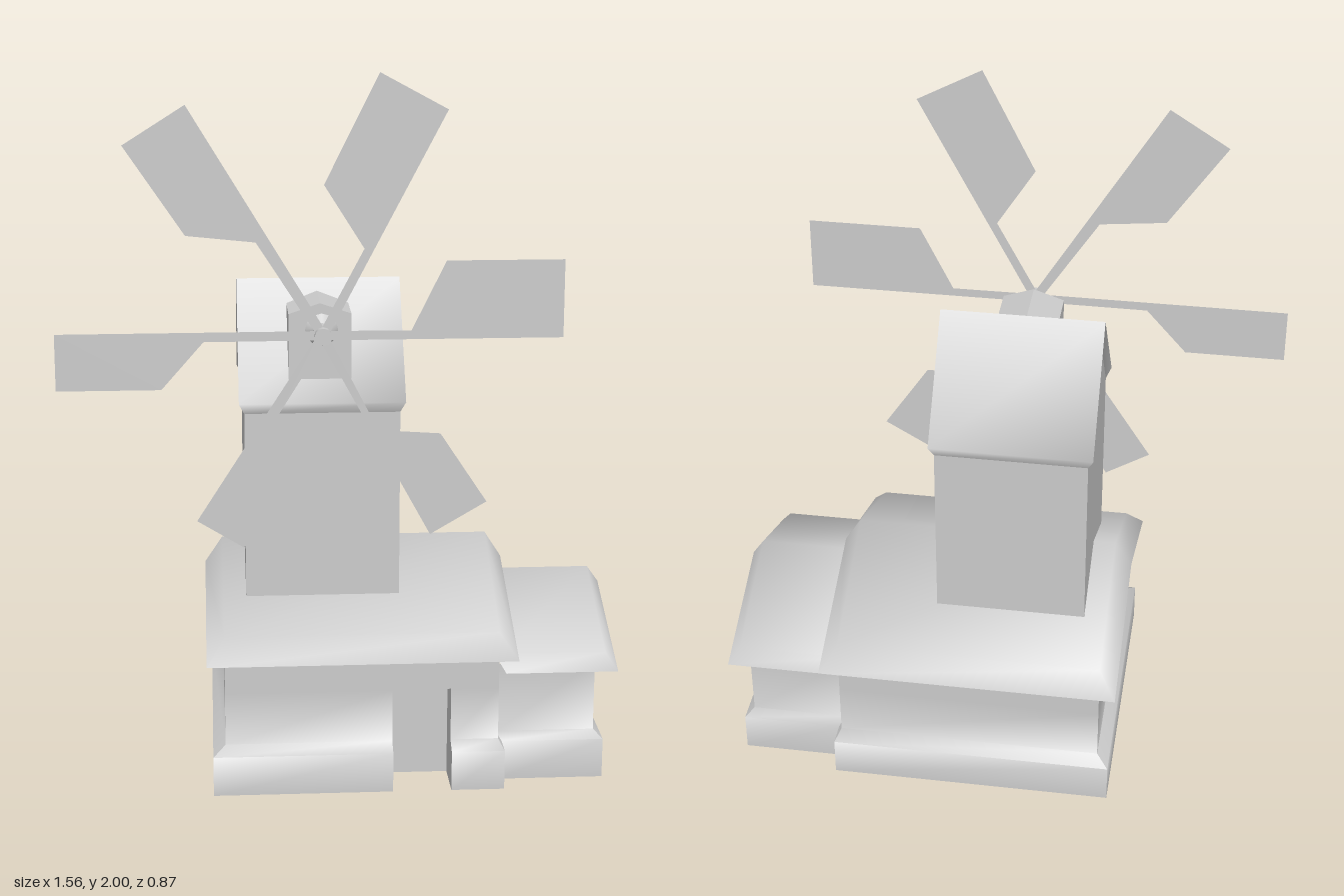
import * as THREE from 'three';
import { toCreasedNormals } from 'three/addons/utils/BufferGeometryUtils.js';

const grey = new THREE.MeshStandardMaterial({ color: 0xcccccc });
const greyDouble = new THREE.MeshStandardMaterial({ color: 0xcccccc, side: THREE.DoubleSide });

function addMesh(parent, name, geometry, material = grey) {
  const mesh = new THREE.Mesh(geometry, material);
  mesh.name = name;
  parent.add(mesh);
  return mesh;
}

// Six-point loop: a rectangle whose two x ends rise to a ridge at z = 0
function gable(x0, x1, z, eave, ridge = eave) {
  return [[x0, eave, z], [x1, eave, z], [x1, ridge, 0], [x1, eave, -z], [x0, eave, -z], [x0, ridge, 0]];
}

// Joins stacked loops with side faces; gable loops may be closed at top and bottom
function loft(loops, { top = false, bottom = false } = {}) {
  const n = loops[0].length, index = [];
  const quad = (a, b, c, d) => index.push(a, b, c, a, c, d);
  for (let k = 0; k < loops.length - 1; k++) {
    for (let i = 0; i < n; i++) {
      const j = (i + 1) % n, a = k * n, b = a + n;
      quad(a + i, a + j, b + j, b + i);
    }
  }
  const t = (loops.length - 1) * n;
  if (top) {
    quad(t, t + 1, t + 2, t + 5);
    quad(t + 5, t + 2, t + 3, t + 4);
  }
  if (bottom) {
    quad(5, 2, 1, 0);
    quad(4, 3, 2, 5);
  }
  const geo = new THREE.BufferGeometry();
  geo.setAttribute('position', new THREE.Float32BufferAttribute(loops.flat(2), 3));
  geo.setIndex(index);
  return toCreasedNormals(geo, 1.25);
}

function buildHouse(group) {
  // Plinth and lower wall, notched for the door
  const notched = (x0, x1, z, y) => [
    [x0, z], [0.135, z], [0.135, 0.3], [0.3, 0.3], [0.3, z], [x1, z], [x1, -z], [x0, -z],
  ].map(([x, pz]) => [x, y, pz]);
  addMesh(group, 'plinthAndLowerWall', loft([
    notched(-0.37, 0.45, 0.43, 0),
    notched(-0.37, 0.45, 0.43, 0.115),
    notched(-0.335, 0.435, 0.39, 0.137),
    notched(-0.335, 0.435, 0.39, 0.29),
  ]), greyDouble);

  const lintel = new THREE.PlaneGeometry(0.165, 0.09).rotateX(Math.PI / 2).translate(0.2175, 0.29, 0.345);
  addMesh(group, 'doorLintel', lintel, greyDouble);

  addMesh(group, 'upperWall', loft([
    gable(-0.335, 0.435, 0.39, 0.29),
    gable(-0.335, 0.435, 0.39, 0.41, 0.56),
  ]), greyDouble);

  addMesh(group, 'houseRoof', loft([
    gable(-0.385, 0.485, 0.435, 0.385, 0.55),
    gable(-0.335, 0.437, 0.38, 0.452, 0.625),
  ], { top: true, bottom: true }));
}

function buildAnnex(group) {
  addMesh(group, 'annexWalls', loft([
    gable(0.435, 0.74, 0.362, 0),
    gable(0.435, 0.74, 0.362, 0.115),
    gable(0.435, 0.715, 0.338, 0.137),
    gable(0.435, 0.715, 0.338, 0.34, 0.47),
  ], { bottom: true }));

  addMesh(group, 'annexRoof', loft([
    gable(0.46, 0.778, 0.362, 0.32, 0.465),
    gable(0.43, 0.745, 0.335, 0.368, 0.512),
  ], { top: true, bottom: true }));
}

function buildTower(group) {
  addMesh(group, 'tower', loft([
    gable(-0.27, 0.165, 0.23, 0.51, 0.61),
    gable(-0.27, 0.165, 0.23, 1.06, 1.35),
  ]));

  addMesh(group, 'towerRoof', loft([
    gable(-0.27, 0.165, 0.23, 1.055, 1.347),
    gable(-0.285, 0.18, 0.243, 1.085, 1.393),
  ], { top: true, bottom: true }));

  // Small gabled housing for the axle
  const front = new THREE.Shape([
    [-0.145, 1.145], [0.03, 1.145], [0.03, 1.33], [-0.0575, 1.36], [-0.145, 1.33],
  ].map(([x, y]) => new THREE.Vector2(x, y)));
  const dormer = new THREE.ExtrudeGeometry(front, { depth: 0.18, bevelEnabled: false });
  addMesh(group, 'axleHousing', dormer.translate(0, 0, 0.02));
}

function buildSails(group) {
  const cx = -0.053, cy = 1.285, bladeZ = 0.275;

  // Flared axle, turned around z
  const axleProfile = [[0.046, 0.195], [0.046, 0.2], [0.024, 0.222], [0.024, 0.295], [0, 0.295]]
    .map(([r, z]) => new THREE.Vector2(r, z));
  const axle = new THREE.LatheGeometry(axleProfile, 12).rotateX(Math.PI / 2).translate(cx, cy, 0);
  addMesh(group, 'axle', toCreasedNormals(axle, 0.6));

  // Each blade: panel start, shoulder, outer tip, tip on the spar edge
  const blades = [
    [[0.19, 1.297], [0.285, 1.49], [0.61, 1.49], [0.61, 1.272]],
    [[0.06, 1.525], [-0.05, 1.7], [0.1, 2.0], [0.285, 1.9]],
    [[-0.235, 1.545], [-0.425, 1.565], [-0.59, 1.81], [-0.42, 1.917]],
    [[-0.38, 1.271], [-0.497, 1.138], [-0.785, 1.138], [-0.785, 1.297]],
    [[-0.178, 1.06], [-0.14, 0.908], [-0.275, 0.68], [-0.405, 0.76]],
    [[0.1, 1.015], [0.273, 1.003], [0.405, 0.803], [0.247, 0.71]],
  ];
  for (const points of blades) {
    const panel = points.map(([x, y]) => new THREE.Vector2(x, y));
    const center = new THREE.Vector2(cx, cy);
    const dir = panel[3].clone().sub(center).normalize();
    const side = new THREE.Vector2(-dir.y, dir.x).multiplyScalar(0.013);
    const shape = new THREE.Shape([
      center.clone().add(side), ...panel, center.clone().sub(side),
    ]);
    addMesh(group, 'sailBlade', new THREE.ShapeGeometry(shape).translate(0, 0, bladeZ), greyDouble);
  }
}

export function createModel() {
  const model = new THREE.Group();
  model.name = 'windmill';
  const parts = { house: buildHouse, annex: buildAnnex, towerAndCap: buildTower, sails: buildSails };
  for (const [name, build] of Object.entries(parts)) {
    const group = new THREE.Group();
    group.name = name;
    build(group);
    model.add(group);
  }
  return model;
}
